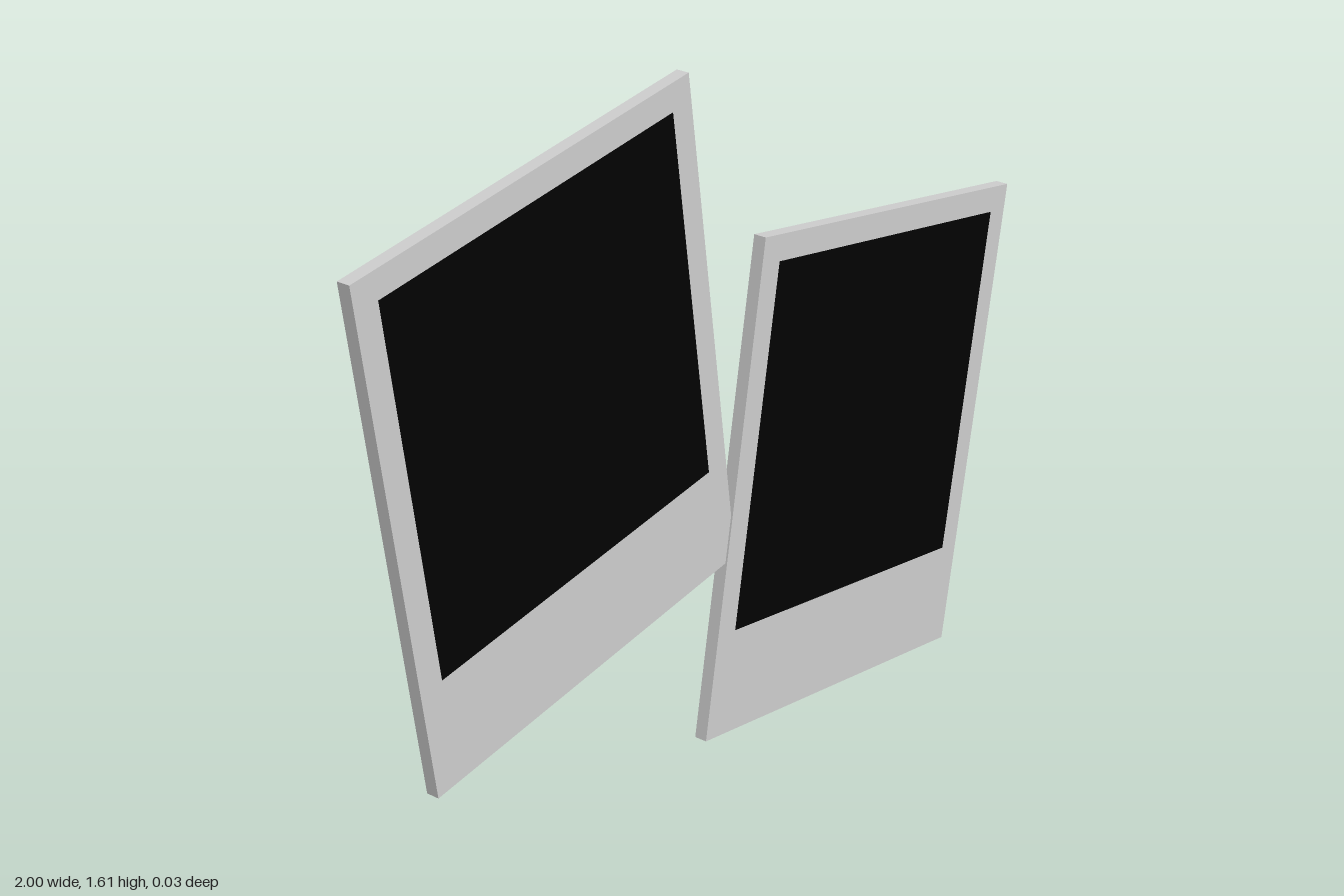
import * as THREE from 'three';

const WIDTH = 0.893, HEIGHT = 1.071, DEPTH = 0.028, PICTURE = 0.782;

// One instant photo: a thin card with a square dark picture set above centre
function createPhoto(name, x, y, z, degrees) {
  const photo = new THREE.Group();
  photo.name = name;

  const card = new THREE.Mesh(
    new THREE.BoxGeometry(WIDTH, HEIGHT, DEPTH),
    new THREE.MeshStandardMaterial({ color: 0xcccccc })
  );
  card.name = 'card';

  const picture = new THREE.Mesh(
    new THREE.PlaneGeometry(PICTURE, PICTURE),
    new THREE.MeshStandardMaterial({ color: 0x020202 })
  );
  picture.name = 'picture';
  picture.position.set(0, 0.089, DEPTH / 2 + 0.001);

  photo.add(card, picture);
  photo.position.set(x, y, z);
  photo.rotation.z = THREE.MathUtils.degToRad(degrees);
  return photo;
}

export function createModel() {
  const model = new THREE.Group();
  model.name = 'photoPair';
  // The lower photo overlaps the corner of the upper one, slightly in front
  model.add(
    createPhoto('upperPhoto', -0.486, 1.022, -0.002, 7.6),
    createPhoto('lowerPhoto', 0.461, 0.607, 0.002, -10.35)
  );
  return model;
}
